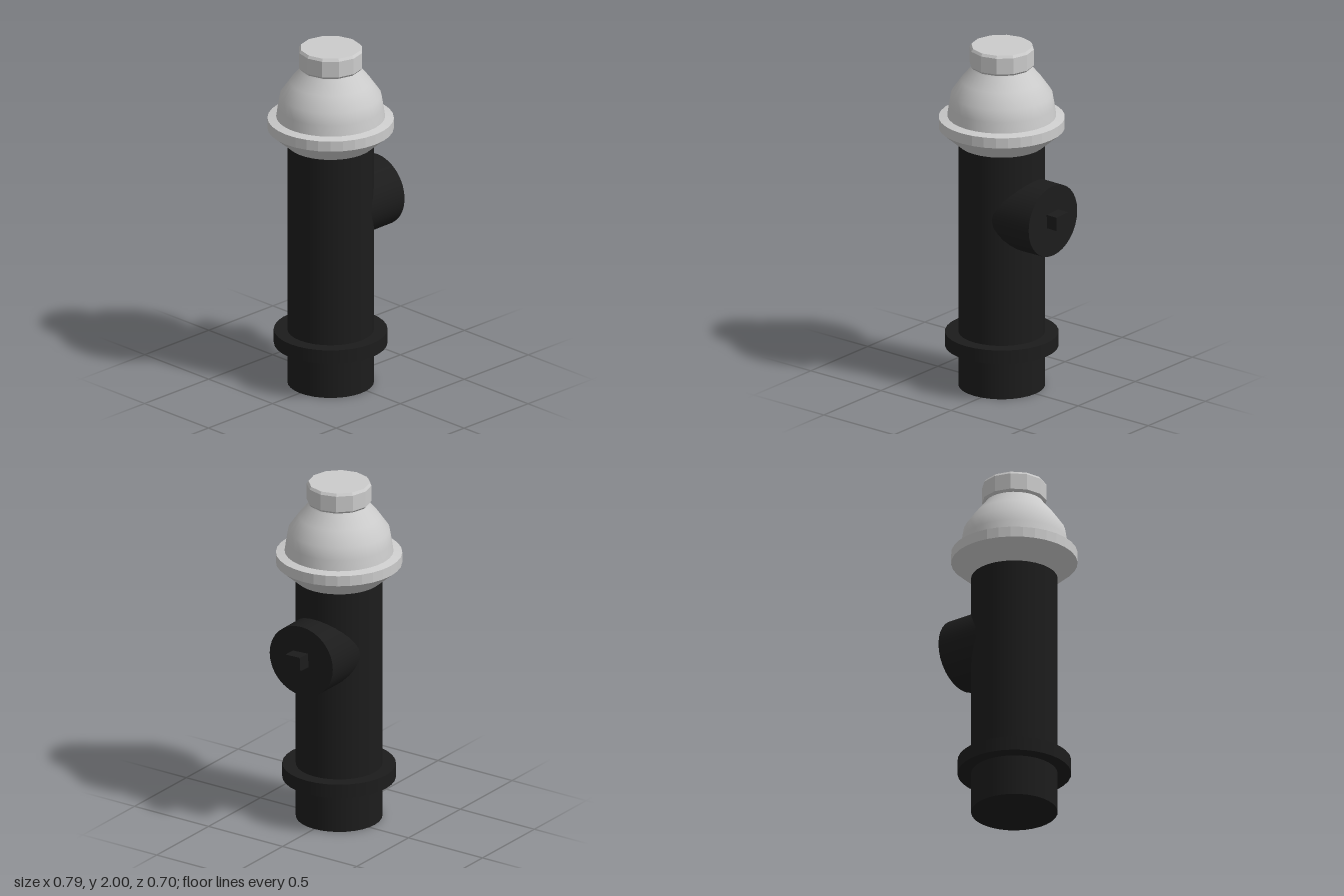
import * as THREE from 'three';

const SEGMENTS = 32;

export function createModel() {
  const hydrant = new THREE.Group();
  hydrant.name = 'hydrant';
  const standpipe = new THREE.Group();
  standpipe.name = 'standpipe';
  standpipe.position.x = -0.045;
  hydrant.add(standpipe);

  const dark = new THREE.MeshStandardMaterial({ color: 0x1c1c1c });
  const grey = new THREE.MeshStandardMaterial({ color: 0xcccccc });
  const greyFlat = new THREE.MeshStandardMaterial({ color: 0xcccccc, flatShading: true });

  const add = (name, geometry, material, x = 0, y = 0, z = 0) => {
    const mesh = new THREE.Mesh(geometry, material);
    mesh.name = name;
    mesh.position.set(x, y, z);
    standpipe.add(mesh);
    return mesh;
  };
  const lathe = (points, sides) =>
    new THREE.LatheGeometry(points.map(([r, y]) => new THREE.Vector2(r, y)), sides);

  // Barrel and the ground flange around it
  add('barrel', new THREE.CylinderGeometry(0.24, 0.24, 1.43, SEGMENTS), dark, 0, 0.715);
  add('groundFlange', new THREE.CylinderGeometry(0.315, 0.315, 0.08, SEGMENTS), dark, 0, 0.275);

  // Bonnet: faceted rim below a smooth dome
  add('bonnetRim', lathe([
    [0, 1.425], [0.24, 1.425], [0.35, 1.52], [0.35, 1.58], [0.302, 1.59],
  ], SEGMENTS), greyFlat);
  add('bonnetDome', lathe([
    [0.302, 1.588], [0.293, 1.65], [0.281, 1.72], [0.225, 1.8], [0.167, 1.87], [0.158, 1.89],
  ], SEGMENTS), grey);

  // Twelve-sided operating nut with chamfered edges
  add('operatingNut', lathe([
    [0, 1.88], [0.17, 1.88], [0.18, 1.892], [0.18, 1.985], [0.17, 2], [0, 2],
  ], 12), greyFlat);

  // Slightly oval side outlet pointing to +x
  const outletGeometry = new THREE.CylinderGeometry(0.205, 0.208, 0.365, SEGMENTS);
  outletGeometry.rotateZ(-Math.PI / 2);
  outletGeometry.scale(1, 1, 1.04);
  add('outlet', outletGeometry, dark, 0.1825, 1.05);

  // Square lug on the outlet cap
  const lug = add('outletLug', new THREE.BoxGeometry(0.09, 0.08, 0.1), dark, 0.393, 1.063, 0.004);
  lug.rotation.set(0.05, -0.04, 0);

  return hydrant;
}
